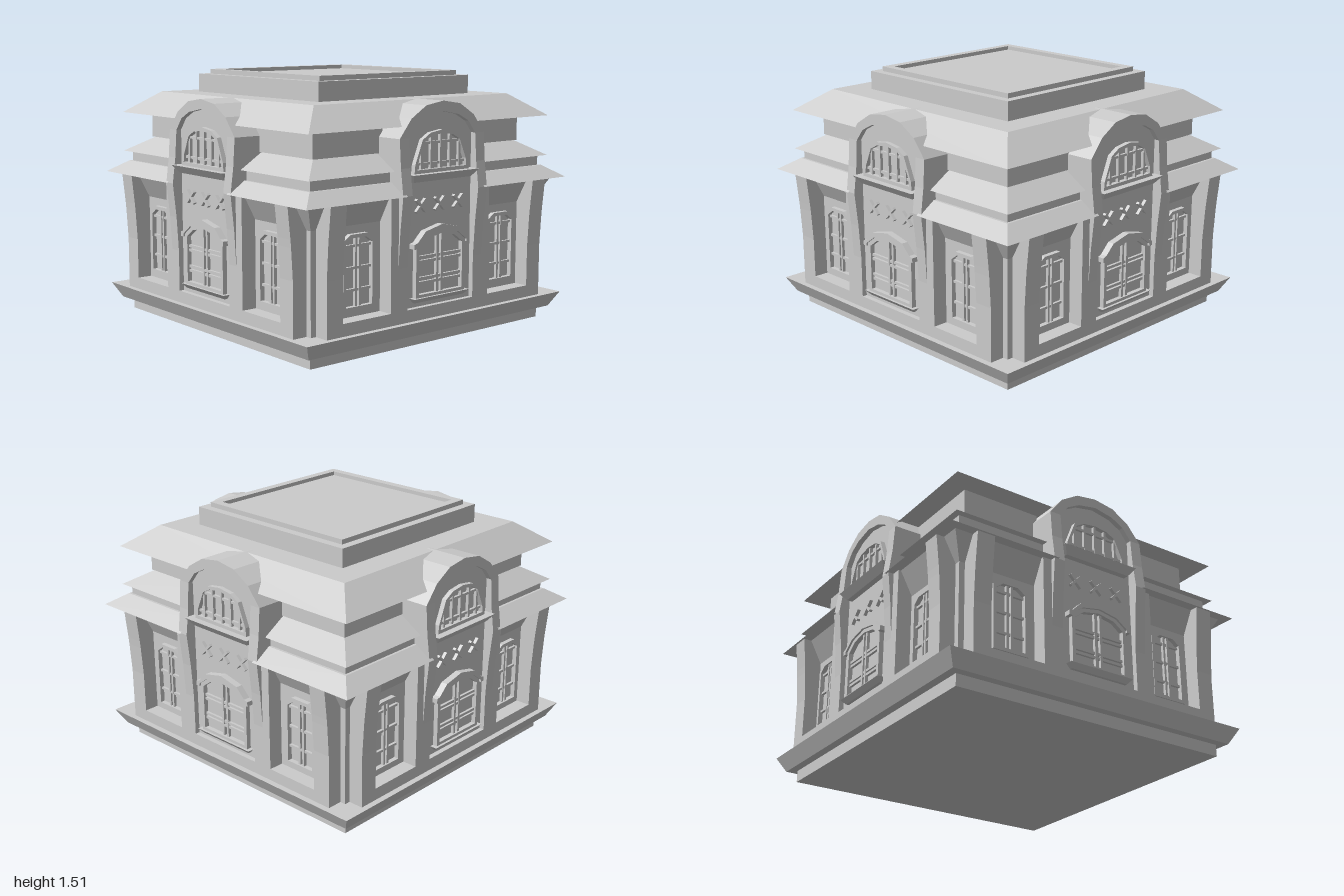
import * as THREE from 'three';

const mat = new THREE.MeshStandardMaterial({ color: 0xcccccc, flatShading: true, side: THREE.DoubleSide });

function part(name, geometry) {
  const flat = geometry.index ? geometry.toNonIndexed() : geometry;
  flat.computeVertexNormals();
  const mesh = new THREE.Mesh(flat, mat);
  mesh.name = name;
  return mesh;
}

// Box given by its limits
function block(name, x0, x1, y0, y1, z0, z1) {
  const g = new THREE.BoxGeometry(x1 - x0, y1 - y0, z1 - z0);
  g.translate((x0 + x1) / 2, (y0 + y1) / 2, (z0 + z1) / 2);
  return part(name, g);
}

// Square solid swept from a [half width, height] profile
function squareLathe(name, profile) {
  const pts = profile.map(([r, y]) => new THREE.Vector2(r * Math.SQRT2, y));
  return part(name, new THREE.LatheGeometry(pts, 4, Math.PI / 4));
}

function fromQuads(name, quads) {
  const pos = [];
  for (const [a, b, c, d] of quads) pos.push(...a, ...b, ...c, ...a, ...c, ...d);
  const g = new THREE.BufferGeometry();
  g.setAttribute('position', new THREE.Float32BufferAttribute(pos, 3));
  return part(name, g);
}

// Full symmetric outline from its right half, listed bottom to top
function mirrored(half) {
  const left = half.filter(([x]) => x > 0).map(([x, y]) => [-x, y]).reverse();
  return [...half, ...left];
}

const toPoints = (list) => list.map(([x, y]) => new THREE.Vector2(x, y));

function slab(name, outline, z0, z1, hole) {
  const shape = new THREE.Shape(toPoints(outline));
  if (hole) shape.holes.push(new THREE.Path(toPoints(hole)));
  const g = new THREE.ExtrudeGeometry(shape, { depth: z1 - z0, bevelEnabled: false });
  g.translate(0, 0, z0);
  return part(name, g);
}

// Front of the pilasters: swells outwards at eaves height
const swell = [[0.16, 0.955], [0.47, 0.955], [0.67, 0.967], [0.87, 0.988], [1.02, 0.968], [1.18, 0.957], [1.4, 0.957]];
function frontZ(y) {
  let i = 0;
  while (i < swell.length - 2 && y > swell[i + 1][0]) i++;
  const [[y0, z0], [y1, z1]] = [swell[i], swell[i + 1]];
  return THREE.MathUtils.mapLinear(y, y0, y1, z0, z1);
}

// Arched bay surround, from paired inner and outer points
function baySurround() {
  const rows = [0.16, 0.47, 0.67, 0.87, 1.02, 1.18].map((y) => [0.255, y, 0.325, y]);
  rows.push([0.2, 1.25, 0.24, 1.285], [0.12, 1.292, 0.13, 1.352]);
  const back = rows.map(([a, b, c, d]) => [-a, b, -c, d]).reverse();
  const path = [...rows, [0, 1.315, 0, 1.372], ...back];
  const quads = [];
  for (let i = 0; i < path.length - 1; i++) {
    const [ax, ay, bx, by] = path[i], [cx, cy, dx, dy] = path[i + 1];
    const a = [ax, ay, frontZ(ay)], b = [bx, by, frontZ(by)];
    const c = [cx, cy, frontZ(cy)], d = [dx, dy, frontZ(dy)];
    quads.push([a, b, d, c]);
    quads.push([b, [bx, by, 0.7], [dx, dy, 0.7], d]);
    quads.push([[ax, ay, 0.9], a, c, [cx, cy, 0.9]]);
  }
  return fromQuads('baySurround', quads);
}

// Stepped eaves of one side, left open where the bay stands
function eaves() {
  const gap = 0.3;
  const profile = [[0.865, 0.73], [0.94, 0.87], [1, 0.87], [0.895, 0.94], [0.88, 0.94], [0.88, 1],
    [0.92, 1], [0.775, 1.09], [0.79, 1.09], [0.79, 1.24], [0.92, 1.24]];
  const quads = [];
  for (let i = 0; i < profile.length - 1; i++) {
    const [r, y] = profile[i], [s, h] = profile[i + 1];
    quads.push([[gap, y, r], [r, y, r], [s, h, s], [gap, h, s]]);
    quads.push([[-r, y, r], [-gap, y, r], [-gap, h, s], [-s, h, s]]);
  }
  return fromQuads('eaves', quads);
}

// Corner pillar that leans outwards above mid height
function cornerPillar(side) {
  const g = new THREE.BoxGeometry(0.11, 0.71, 0.15, 1, 16, 1);
  g.translate(side * 0.775, 0.515, 0.88);
  const p = g.attributes.position;
  for (let i = 0; i < p.count; i++) if (p.getZ(i) > 0.9) p.setZ(i, frontZ(p.getY(i)));
  return part('cornerPillar', g);
}

// Sill whose underside tapers back to the wall
function sill(w, taper, y0, y1, z1) {
  const outline = [[-w + taper, y0], [w - taper, y0], [w, y1], [-w, y1]];
  const mesh = slab('sill', outline, 0.88, z1);
  const p = mesh.geometry.attributes.position;
  for (let i = 0; i < p.count; i++) {
    if (p.getY(i) < (y0 + y1) / 2 && p.getZ(i) > 0.9) p.setZ(i, z1 - taper);
  }
  mesh.geometry.computeVertexNormals();
  return mesh;
}

// Framed window with glazing bars; half is the right half of its outline
function windowUnit(name, half, t, z, uprights, rails) {
  const group = new THREE.Group();
  group.name = name;
  const outline = mirrored(half);
  const ys = outline.map((q) => q[1]);
  const lo = Math.min(...ys), hi = Math.max(...ys), mid = (lo + hi) / 2;
  const w = Math.max(...outline.map((q) => q[0]));
  const inner = outline.map(([x, y]) => [x * (1 - t / w), mid + (y - mid) * (1 - 2 * t / (hi - lo))]);
  group.add(slab('frame', outline, z - 0.01, z + 0.028, inner));
  const b = t * 0.35;
  for (const [x, top] of uprights) group.add(block('upright', x - b, x + b, lo, top, z - 0.01, z + 0.018));
  for (const [y, reach] of rails) group.add(block('rail', -reach, reach, y - b, y + b, z - 0.01, z + 0.015));
  return group;
}

function facade() {
  const side = new THREE.Group();
  side.name = 'facade';
  side.add(eaves(), baySurround());
  side.add(block('plinthBand', -0.83, 0.83, 0.16, 0.23, 0.8, 0.955));

  // Wall inside the arched bay
  const bay = [[0.29, 0.16], [0.29, 1.18], [0.22, 1.267], [0.125, 1.32], [0, 1.343]];
  side.add(slab('bayWall', mirrored(bay), 0.7, 0.925));

  for (const s of [-1, 1]) {
    side.add(cornerPillar(s));
    side.add(block('bayPilaster', s * 0.3525 - 0.0275, s * 0.3525 + 0.0275, 0.16, 0.87, 0.8, 0.955));
    const win = windowUnit('sideWindow', [[0.113, 0.27], [0.113, 0.65], [0.06, 0.685]], 0.02, 0.865,
      [[-0.014, 0.675], [0.014, 0.675]], [[0.38, 0.1], [0.5, 0.1], [0.62, 0.1]]);
    win.position.x = s * 0.553;
    side.add(win);
  }

  // Large lower window with hood and sill
  side.add(windowUnit('lowerWindow', [[0.19, 0.28], [0.19, 0.58], [0.12, 0.632], [0, 0.655]], 0.022, 0.925,
    [[-0.018, 0.63], [0.018, 0.63]], [[0.365, 0.18], [0.39, 0.18], [0.485, 0.18], [0.51, 0.18]]));
  side.add(slab('windowHood', [[0.19, 0.565], [0.215, 0.565], [0.215, 0.592], [0.19, 0.6], [0.13, 0.658], [0, 0.687],
    [-0.13, 0.658], [-0.19, 0.6], [-0.215, 0.592], [-0.215, 0.565], [-0.19, 0.565], [-0.19, 0.58],
    [-0.12, 0.632], [0, 0.655], [0.12, 0.632], [0.19, 0.58]], 0.9, 0.965));
  side.add(sill(0.215, 0.025, 0.257, 0.285, 0.968));

  // Fan window under the arch
  side.add(windowUnit('archWindow', [[0.21, 0.98], [0.205, 1.03], [0.15, 1.165], [0.09, 1.2], [0, 1.213]], 0.02, 0.925,
    [[-0.145, 1.16], [-0.073, 1.195], [0, 1.205], [0.073, 1.195], [0.145, 1.16]], [[1.03, 0.195], [1.145, 0.15]]));
  side.add(sill(0.255, 0.035, 0.935, 0.98, 0.995));

  // Crossed ornaments
  for (const x of [-0.145, 0, 0.145]) {
    for (const turn of [-1, 1]) {
      const bar = part('crossOrnament', new THREE.BoxGeometry(0.1, 0.014, 0.03));
      bar.position.set(x, 0.8, 0.93);
      bar.rotation.z = turn * Math.PI / 4;
      side.add(bar);
    }
  }
  return side;
}

export function createModel() {
  const model = new THREE.Group();
  model.name = 'pavilion';
  model.add(squareLathe('base', [[0, 0], [0.89, 0], [0.89, 0.07], [0.94, 0.07], [0.99, 0.16], [0.8, 0.16]]));
  model.add(block('walls', -0.865, 0.865, 0.15, 0.9, -0.865, 0.865));
  model.add(squareLathe('roof', [[0.92, 1.24], [0.745, 1.37], [0.58, 1.37], [0.58, 1.48], [0.53, 1.48],
    [0.53, 1.508], [0.48, 1.508], [0.48, 1.485], [0, 1.485]]));

  // Four identical sides
  const side = facade();
  for (let i = 0; i < 4; i++) {
    const copy = side.clone();
    copy.rotation.y = i * Math.PI / 2;
    model.add(copy);
  }
  return model;
}
